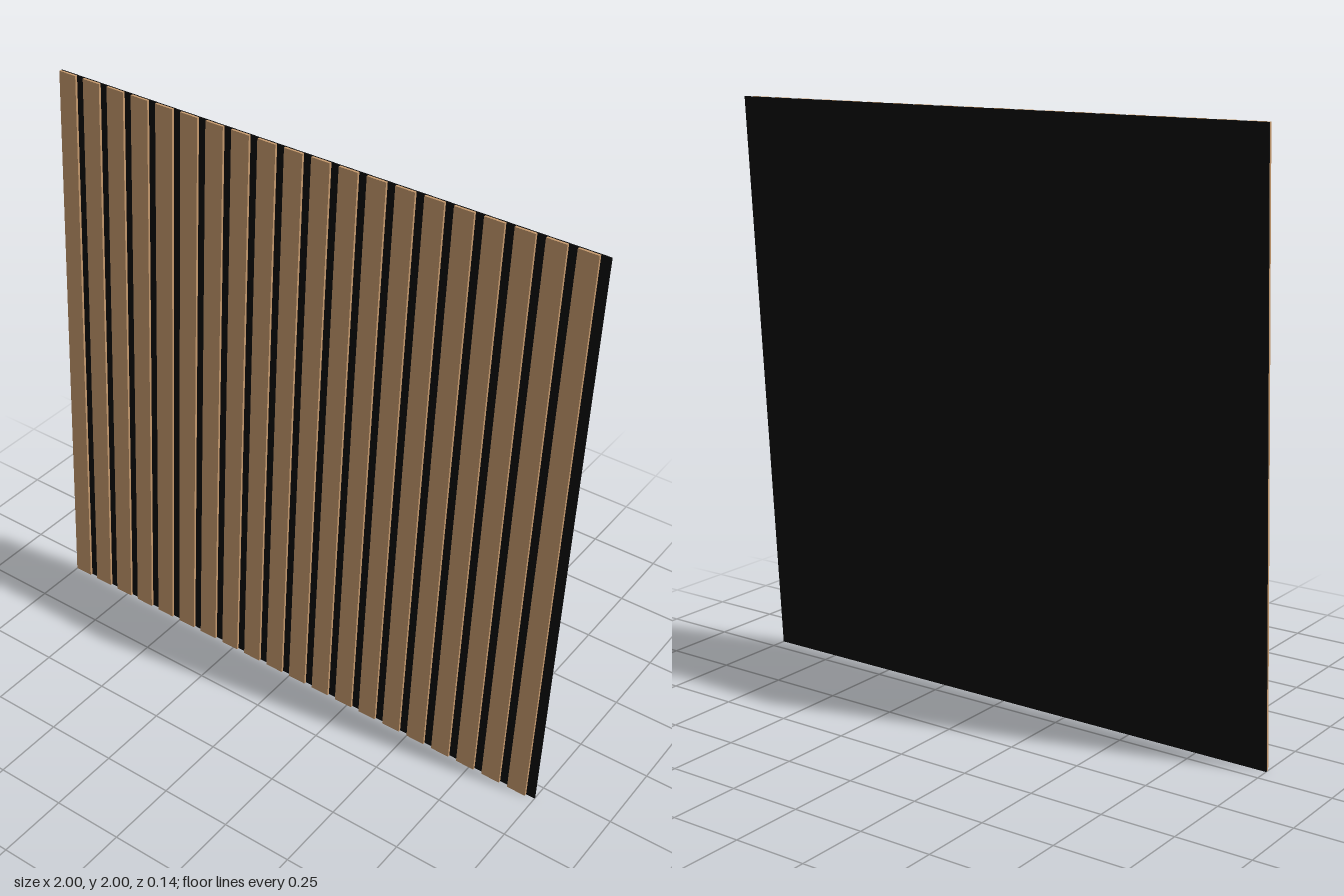
import * as THREE from 'three';

export function createModel() {
  const wood = new THREE.MeshStandardMaterial({ color: 0xc4986c });
  wood.name = 'oak wood';
  const felt = new THREE.MeshStandardMaterial({ color: 0x0b0b0b });
  felt.name = 'black felt';

  const count = 20, pitch = 0.1, slatWidth = 0.068;
  const backDepth = 0.005, slatDepth = 0.009, depth = backDepth + slatDepth;
  const lean = THREE.MathUtils.degToRad(3.5);
  const height = (2 - depth * Math.sin(lean)) / Math.cos(lean);

  // Panel leaning backwards, pivoting about its middle
  const panel = new THREE.Group();
  panel.name = 'slatPanel';
  panel.position.y = 1;
  panel.rotation.x = -lean;

  // Thin felt backing sheet
  const backing = new THREE.Mesh(new THREE.BoxGeometry(count * pitch, height, backDepth), felt);
  backing.name = 'backing';
  backing.position.z = -depth / 2 + backDepth / 2;
  panel.add(backing);

  // Vertical slats, each at the left edge of its pitch
  const slatGeometry = new THREE.BoxGeometry(slatWidth, height, slatDepth);
  for (let i = 0; i < count; i++) {
    const slat = new THREE.Mesh(slatGeometry, wood);
    slat.name = `slat${i + 1}`;
    slat.position.set(-1 + i * pitch + slatWidth / 2, 0, depth / 2 - slatDepth / 2);
    panel.add(slat);
  }

  const model = new THREE.Group();
  model.name = 'leaningSlatPanel';
  model.add(panel);
  return model;
}
